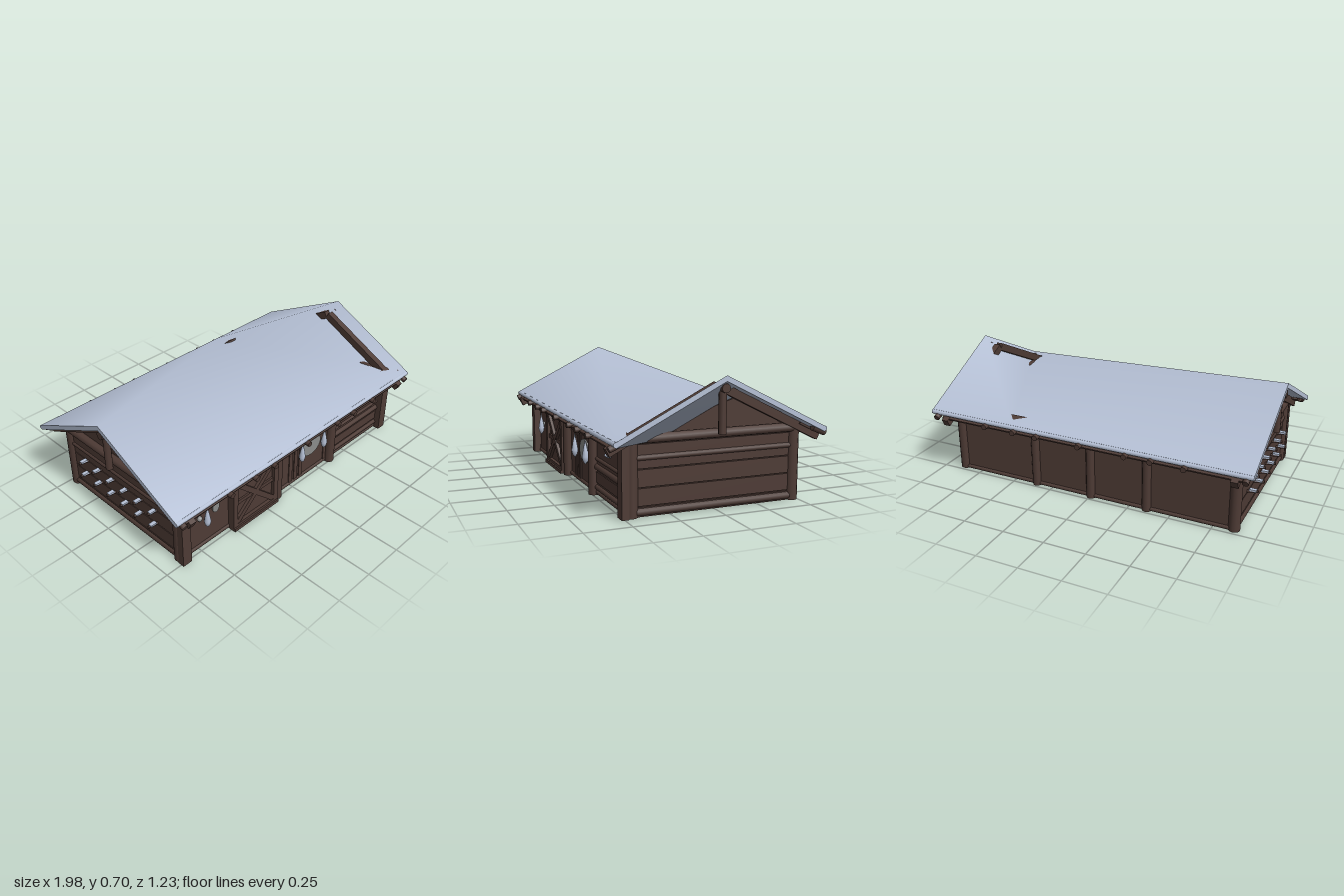
import * as THREE from 'three';

export function createModel() {
  const model = new THREE.Group();
  const mat = (name, color) => {
    const m = new THREE.MeshStandardMaterial({ color });
    m.name = name;
    return m;
  };
  const wood = mat('dark wood', 0x4e3b35);
  const snow = mat('blue snow', 0xb6c1d6);
  const pane = mat('grey window', 0x8b8c8b);

  const add = (name, geo, m = wood) => {
    const mesh = new THREE.Mesh(geo, m);
    mesh.name = name;
    model.add(mesh);
    return mesh;
  };
  const box = (name, w, h, d, x, y, z, m = wood) => {
    const b = add(name, new THREE.BoxGeometry(w, h, d), m);
    b.position.set(x, y, z);
    return b;
  };
  // round timber between two points
  const log = (name, a, b, r, m = wood, sides = 10) => {
    const p = new THREE.Vector3(...a), q = new THREE.Vector3(...b);
    const mesh = add(name, new THREE.CylinderGeometry(r, r, p.distanceTo(q), sides), m);
    mesh.position.copy(p).add(q).multiplyScalar(0.5);
    mesh.quaternion.setFromUnitVectors(new THREE.Vector3(0, 1, 0), q.sub(p).normalize());
    return mesh;
  };
  const sheet = (name, points, index, m) => {
    const g = new THREE.BufferGeometry();
    g.setAttribute('position', new THREE.Float32BufferAttribute(points.flat(), 3));
    g.setIndex(index);
    g.computeVertexNormals();
    return add(name, g, m);
  };

  // walls and floor
  box('walls', 1.74, 0.39, 0.95, 0, 0.205, 0);
  box('doorSill', 0.36, 0.02, 0.06, -0.34, 0.015, 0.5);

  // sagging roof skin: the ridge ends stay high while a valley crosses the right half
  const E = 0.42, X = 0.99, Z = 0.58, R = 0.71, T = 0.03;
  const pitch = Math.atan2(R - E, Z);
  const top = [[-X, R, 0], [X, R, 0], [X, E, Z], [X, E, -Z], [-X, E, Z], [-X, E, -Z], [0.44, E, -Z]];
  const low = top.map(([x, y, z]) => [x, y - T, z]);
  const faces = [0, 4, 2, 0, 6, 5, 0, 2, 6, 6, 2, 1, 6, 1, 3];
  sheet('roofTop', top, faces, snow);
  sheet('roofUnderside', low, [...faces].reverse(), snow);
  // roof rim, walked around the outline
  const ring = [0, 4, 2, 1, 3, 5];
  ring.forEach((a, i) => {
    const b = ring[(i + 1) % ring.length];
    sheet('roofRim', [top[a], low[a], low[b], top[b]], [0, 1, 2, 0, 2, 3], snow);
  });
  // rounded snow along the eaves, with boards below
  for (const s of [-1, 1]) {
    log('eaveSnow', [-X, E - 0.014, s * Z], [X, E - 0.014, s * Z], 0.014, snow);
    box('eaveBoard', 1.87, 0.012, 0.125, -0.015, 0.403, s * 0.53).rotation.x = s * pitch;
  }

  // gable rafters, ridge stubs, king posts and tie beams
  for (const sx of [-1, 1]) {
    for (const sz of [-1, 1]) {
      box('gableRafter', 0.04, 0.045, 0.66, sx * 0.892, 0.5, sz * 0.3).rotation.x = sz * pitch;
      log('rafterTail', [sx * 0.95, 0.41, sz * 0.53], [sx * 0.95, 0.378, sz * 0.605], 0.018);
    }
    log('ridgeStub', [sx * 0.95, 0.645, 0], [sx * 0.985, 0.645, 0], 0.024);
    log('kingPost', [sx * 0.945, 0.41, 0], [sx * 0.945, 0.635, 0], 0.021);
    log('tieBeam', [sx * 0.88, 0.405, -0.48], [sx * 0.88, 0.405, 0.48], 0.025);
    // horizontal side boards with gaps between them
    for (const [y, h] of [[0.035, 0.05], [0.11, 0.09], [0.205, 0.09], [0.285, 0.06], [0.35, 0.055]])
      box('sideBoard', 0.02, h, 0.88, sx * 0.872, y, 0);
    log('sideRail', [sx * 0.875, 0.31, -0.46], [sx * 0.875, 0.31, 0.46], 0.016);
    log('sideSill', [sx * 0.872, 0.035, -0.46], [sx * 0.872, 0.035, 0.46], 0.022);
    for (const sz of [-1, 1])
      log('cornerPost', [sx * 0.868, 0.01, sz * 0.46], [sx * 0.868, 0.41, sz * 0.46], 0.034, wood, 12);
  }
  // gable panels: [z, y] outlines
  const gable = (name, x, outline) => {
    const shape = new THREE.Shape(outline.map(([z, y]) => new THREE.Vector2(-z, y)));
    const p = add(name, new THREE.ExtrudeGeometry(shape, { depth: 0.015, bevelEnabled: false }));
    p.rotation.y = Math.PI / 2;
    p.position.x = x;
  };
  gable('rightGable', 0.845, [[-0.5, 0.39], [-0.49, 0.42], [-0.16, 0.59], [0, 0.54], [0.27, 0.41], [0.3, 0.39]]);
  gable('leftGable', -0.865, [[-0.5, 0.39], [-0.49, 0.42], [0, 0.63], [0.49, 0.42], [0.5, 0.39]]);

  // joist ends under both eaves
  for (const x of [-0.62, -0.43, -0.28, 0, 0.27, 0.42, 0.61])
    for (const s of [-1, 1])
      log('joistEnd', [x, 0.397, s * 0.46], [x, 0.385, s * 0.612], 0.017);

  // long plates and sills, front and back
  for (const s of [-1, 1]) {
    log('wallPlate', [-0.88, 0.378, s * 0.475], [0.88, 0.378, s * 0.475], 0.022);
    log('wallSill', [-0.87, 0.022, s * 0.472], [0.87, 0.022, s * 0.472], 0.013);
  }
  for (const x of [0.35, -0.01, -0.36])
    log('backPost', [x, 0.01, -0.472], [x, 0.39, -0.472], 0.028);

  // front posts and bay lintels
  for (const x of [-0.13, 0.36])
    log('frontPost', [x, 0.005, 0.485], [x, 0.39, 0.485], 0.032);
  for (const x of [-0.87, 0.87])
    box('frontCornerBoard', 0.06, 0.385, 0.04, x, 0.2, 0.5);
  log('leftLintel', [-0.85, 0.312, 0.48], [-0.52, 0.312, 0.48], 0.014);
  log('middleLintel', [-0.11, 0.312, 0.48], [0.33, 0.312, 0.48], 0.014);
  for (const x of [0.0, 0.045, 0.09, 0.32])
    box('bayBoard', 0.03, 0.29, 0.012, x, 0.16, 0.474);

  // barn door with frame and cross brace
  box('doorPanel', 0.36, 0.35, 0.03, -0.34, 0.19, 0.485);
  for (const x of [-0.505, -0.175]) box('doorStile', 0.035, 0.365, 0.025, x, 0.19, 0.508);
  for (const y of [0.025, 0.345]) box('doorRail', 0.36, 0.035, 0.025, -0.34, y, 0.508);
  box('doorMidRail', 0.3, 0.025, 0.012, -0.34, 0.185, 0.505);
  for (const s of [-1, 1])
    box('doorBrace', 0.42, 0.032, 0.02, -0.34, 0.185, 0.508).rotation.z = s * 0.75;

  // boarded bay on the front right
  for (const [y, r] of [[0.05, 0.016], [0.165, 0.018], [0.21, 0.012]])
    log('stallRail', [0.39, y, 0.474], [0.85, y, 0.474], r);
  box('stallBoard', 0.46, 0.06, 0.01, 0.62, 0.108, 0.476);
  const patch = add('snowPatch', new THREE.SphereGeometry(0.04, 12, 8), snow);
  patch.position.set(0.585, 0.265, 0.48);
  patch.scale.set(1, 0.22, 0.4);

  // oval windows as thin plates
  for (const [x, y, rx, ry] of [[-0.62, 0.23, 0.025, 0.035], [0.18, 0.212, 0.085, 0.068]]) {
    const w = add('ovalWindow', new THREE.CylinderGeometry(1, 1, 0.008, 24), pane);
    w.rotation.x = Math.PI / 2;
    w.scale.set(rx, 1, ry);
    w.position.set(x, y, 0.48);
  }
  // hanging icicles
  const drop = [[0, -0.07], [0.015, -0.05], [0.02, -0.025], [0.012, 0.02], [0, 0.075]]
    .map(p => new THREE.Vector2(...p));
  for (const x of [-0.705, 0.07, 0.272])
    add('icicle', new THREE.LatheGeometry(drop, 10), snow).position.set(x, 0.225, 0.505);
  add('hangingKnob', new THREE.SphereGeometry(0.016, 10, 8), pane).position.set(-0.74, 0.22, 0.48);

  // two rows of snowy pegs on the left wall
  for (const y of [0.165, 0.255])
    for (let i = 0; i < 6; i++) {
      const z = -0.3 + i * 0.12;
      log('peg', [-0.87, y, z], [-0.945, y + 0.012, z], 0.008, wood, 8);
      box('pegSnow', 0.04, 0.01, 0.024, -0.915, y + 0.016, z, snow);
    }
  return model;
}
